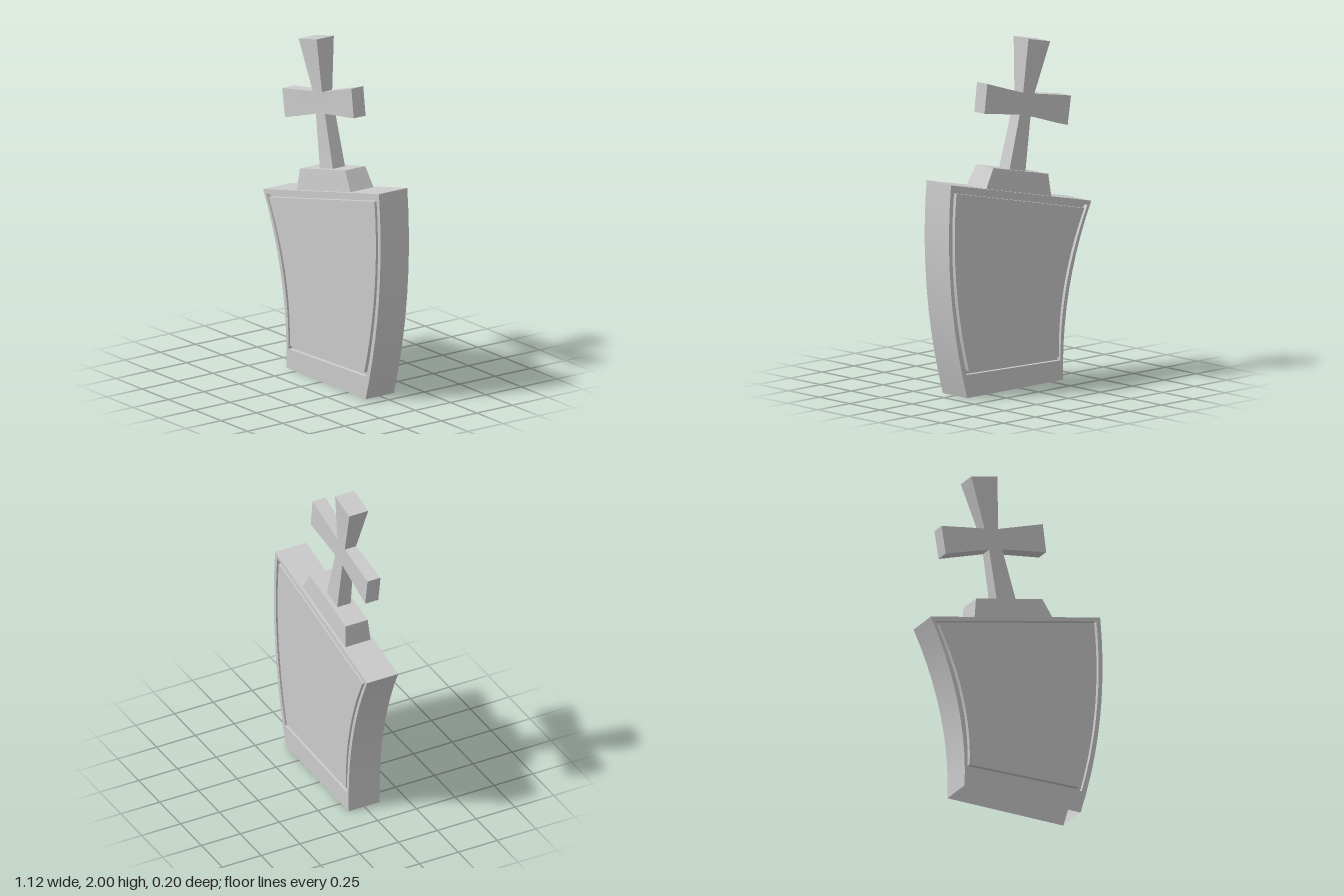
import * as THREE from 'three';
import { toCreasedNormals } from 'three/addons/utils/BufferGeometryUtils.js';

const material = new THREE.MeshStandardMaterial({ color: 0xcccccc, side: THREE.DoubleSide });
const flipZ = ([x, y, z]) => [x, y, -z];

// Mesh from four-cornered faces, corners counter-clockwise
function quadMesh(name, quads) {
  const positions = quads.flatMap(([a, b, c, d]) => [a, b, c, a, c, d].flat());
  const geometry = new THREE.BufferGeometry();
  geometry.setAttribute('position', new THREE.Float32BufferAttribute(positions, 3));
  const mesh = new THREE.Mesh(toCreasedNormals(geometry, Math.PI / 7), material);
  mesh.name = name;
  return mesh;
}

// Faces joining two loops of equal length
function strip(a, b, closed = true) {
  const quads = [];
  for (let i = 0; i < a.length - (closed ? 0 : 1); i++) {
    const j = (i + 1) % a.length;
    quads.push([a[i], a[j], b[j], b[i]]);
  }
  return quads;
}

// The same faces mirrored to the back
const withBack = (quads) => [...quads, ...quads.map((q) => q.map(flipZ).reverse())];

const STEPS = 10;
// Stone contour: right curve going up, then left curve coming down
function contour(right, left) {
  const points = ([a, b, c]) => new THREE.QuadraticBezierCurve(
    ...[a, b, c].map((p) => new THREE.Vector2(...p))).getPoints(STEPS);
  return [...points(right), ...points(left).reverse()];
}
const atZ = (loop, z) => loop.map((p) => [p.x, p.y, z]);

// Leaning slab, open underneath, with a square groove framing both faces
function makeSlab() {
  const outer = contour([[0.413, 0], [0.603, 0.62], [0.54, 1.25]], [[-0.34, 0], [-0.32, 0.52], [-0.56, 1.005]]);
  const grooveOut = contour([[0.42, 0.135], [0.572, 0.68], [0.515, 1.22]], [[-0.32, 0.115], [-0.31, 0.55], [-0.53, 0.985]]);
  const grooveIn = contour([[0.4, 0.155], [0.55, 0.68], [0.497, 1.195]], [[-0.307, 0.138], [-0.292, 0.55], [-0.505, 0.97]]);
  const face = 0.1, floor = 0.075;
  const loops = [
    atZ(outer, face), atZ(grooveOut, face), atZ(grooveOut, floor),
    atZ(grooveIn, floor), atZ(grooveIn, face),
  ];
  const front = [];
  for (let i = 0; i < loops.length - 1; i++) front.push(...strip(loops[i], loops[i + 1]));
  // central panel
  const panel = loops[4], last = panel.length - 1;
  for (let i = 0; i < STEPS; i++) front.push([panel[last - i], panel[i], panel[i + 1], panel[last - i - 1]]);
  return quadMesh('slab', [...withBack(front), ...strip(atZ(outer, -face), loops[0], false)]);
}

// Tapered plinth sitting on the sloping top
function makePlinth() {
  const ring = (l, r, z) => [[...l, z], [...r, z], [...r, -z], [...l, -z]];
  const bottom = ring([-0.265, 1.07], [0.245, 1.184], 0.081);
  const top = ring([-0.25, 1.2], [0.18, 1.295], 0.071);
  return quadMesh('plinth', [...strip(bottom, top), top]);
}

// Tilted cross whose arms flare in width and in depth
function makeCross() {
  // hub corners and, for each side, the end of the arm; all counter-clockwise
  const hub = [[-0.145, 1.545], [-0.06, 1.565], [-0.087, 1.687], [-0.175, 1.67]].map((p) => [...p, 0.036]);
  const ends = [
    { z: 0.043, a: [-0.098, 1.232], b: [0.026, 1.26] },
    { z: 0.042, a: [0.222, 1.61], b: [0.2, 1.78] },
    { z: 0.061, a: [-0.105, 2.0], b: [-0.275, 1.963] },
    { z: 0.042, a: [-0.457, 1.62], b: [-0.43, 1.453] },
  ];
  const front = [hub];
  const outline = [];
  ends.forEach(({ z, a, b }, i) => {
    const endA = [...a, z], endB = [...b, z];
    front.push([hub[i], endA, endB, hub[(i + 1) % 4]]);
    outline.push(hub[i], endA, endB);
  });
  return quadMesh('cross', [...withBack(front), ...strip(outline.map(flipZ), outline)]);
}

export function createModel() {
  const group = new THREE.Group();
  group.name = 'gravestone';
  group.add(makeSlab(), makePlinth(), makeCross());
  return group;
}
